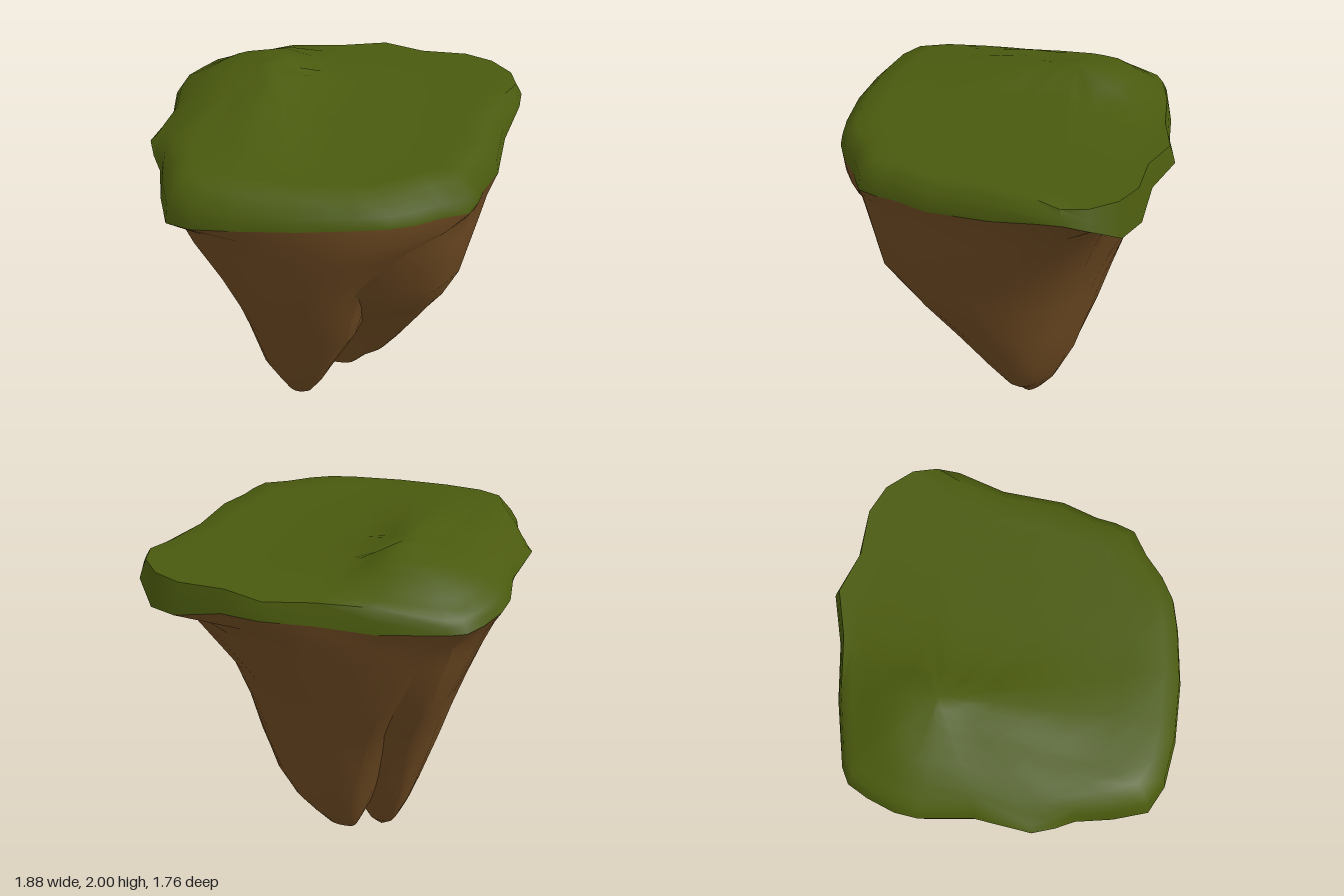
import * as THREE from 'three';
import { toCreasedNormals } from 'three/addons/utils/BufferGeometryUtils.js';

// Island outline, clockwise from the back right corner: x, z, height of the grass edge
const OUTLINE = [
  [-0.70, -0.72, 1.74], [-0.36, -0.79, 1.73], [-0.07, -0.82, 1.75], [0.18, -0.88, 1.77],
  [0.40, -0.80, 1.74], [0.65, -0.79, 1.69], [0.80, -0.72, 1.68], [0.91, -0.59, 1.76],
  [0.94, -0.46, 1.79], [0.93, -0.34, 1.78], [0.86, -0.10, 1.72], [0.83, 0.22, 1.71],
  [0.76, 0.40, 1.71], [0.74, 0.50, 1.71], [0.70, 0.60, 1.71], [0.57, 0.67, 1.72],
  [0.45, 0.76, 1.73], [0.33, 0.82, 1.74], [0.18, 0.85, 1.74], [-0.10, 0.88, 1.73],
  [-0.40, 0.875, 1.71], [-0.62, 0.84, 1.68], [-0.75, 0.77, 1.66], [-0.81, 0.60, 1.69],
  [-0.85, 0.42, 1.73], [-0.90, 0.33, 1.76], [-0.94, 0.22, 1.78], [-0.89, -0.06, 1.75],
  [-0.92, -0.32, 1.76], [-0.90, -0.44, 1.75], [-0.84, -0.58, 1.74], [-0.78, -0.68, 1.74],
];
const PEAK = [-0.38, -0.28];
const { clamp } = THREE.MathUtils;

// Piecewise linear curve through [position, value] pairs
function curve(points, t) {
  if (t <= points[0][0]) return points[0][1];
  for (let i = 1; i < points.length; i++) {
    const [a, va] = points[i - 1], [b, vb] = points[i];
    if (t <= b) return va + (vb - va) * (t - a) / (b - a);
  }
  return points[points.length - 1][1];
}

// Height of the turf: a low hill on a flat top that droops at the left of the front view
const HILL_X = [[-0.9, 0], [-0.78, 0.2], [-0.65, 0.57], [-0.38, 1], [-0.3, 0.86], [-0.2, 0.35], [0.1, 0.13], [0.45, 0]];
const HILL_Z = [[-0.74, 0], [-0.6, 0.5], [-0.45, 0.86], [-0.28, 1], [-0.12, 0.8], [0.13, 0.78], [0.2, 0.57], [0.6, 0.3], [0.8, 0]];
function turfHeight(x, z) {
  const sideDroop = clamp((-0.76 - x) / 0.16, 0, 1);
  const cornerDroop = clamp((-x - z - 1.1) / 0.28, 0, 1);
  return 1.86 + 0.14 * curve(HILL_X, x) * curve(HILL_Z, z) - 0.07 * Math.max(sideDroop, cornerDroop);
}

// Skin over closed rings of points, listed from top to bottom
function loft(rings, crease) {
  const n = OUTLINE.length, index = [];
  for (let r = 0; r + 1 < rings.length; r++) {
    for (let j = 0; j < n; j++) {
      const k = (j + 1) % n;
      const a = r * n + j, b = r * n + k, c = a + n, d = b + n;
      index.push(a, b, c, b, d, c);
    }
  }
  const geometry = new THREE.BufferGeometry();
  geometry.setAttribute('position', new THREE.Float32BufferAttribute(rings.flat(2), 3));
  geometry.setIndex(index);
  return toCreasedNormals(geometry, crease);
}

// Grass: hilltop, turf, bevel and drooping edge
function grassGeometry() {
  const inner = OUTLINE.map(([x, z]) => {
    const s = z > -0.35 && (x > 0 || z > 0.5) ? 0.9 : 0.965;
    return [x * s, z * s];
  });
  const rings = [0, 0.12, 0.25, 0.4, 0.6, 0.8, 0.9, 1].map((s) => inner.map(([ix, iz]) => {
    const x = PEAK[0] + (ix - PEAK[0]) * s, z = PEAK[1] + (iz - PEAK[1]) * s;
    return [x, turfHeight(x, z), z];
  }));
  rings.push(OUTLINE.map(([x, z, y], i) => {
    const [ix, iz] = inner[i];
    return [x * 0.985, y + (turfHeight(ix, iz) - y) * 0.5, z * 0.985];
  }));
  rings.push(OUTLINE.map(([x, z, y]) => [x, y, z]));
  return loft(rings, 1.1);
}

// Rock lobe: sections [y, xMin, xMax, zMin, zMax] turn, towards the tip, into
// ellipses stretched along one diagonal. outward (1 or -1) is the side facing
// away from the other lobe, and fullness keeps that side from being flattened.
function lobeGeometry(sections, outward, fullness) {
  const rings = [OUTLINE.map(([x, z, y]) => [x, y, z])];
  for (const [y, x0, x1, z0, z1] of sections) {
    const round = clamp((1.95 - y) / 1.1, 0, 1);
    const stretch = 0.34 * clamp((1.75 - y) / 0.6, 0, 1);
    rings.push(OUTLINE.map(([px, pz]) => {
      const u = px / 0.94, v = pz / 0.88, angle = Math.atan2(v, u), len = Math.hypot(u, v);
      const bump = 1 + 0.02 * Math.sin(5 * angle + 6 * y + outward) * round;
      const s = bump * (1 + (1 / len - 1) * (len < 1 ? Math.max(round, 0.8) : round));
      const out = outward * (u - v);
      const skew = stretch * (1 - clamp(out > 0 ? out * fullness : -out, 0, 1));
      const w = v * Math.sqrt(1 - skew * skew) + u * skew;
      return [(x0 + x1) / 2 + u * s * (x1 - x0) / 2, y, (z0 + z1) / 2 + w * s * (z1 - z0) / 2];
    }));
  }
  return loft(rings, 0.5);
}

export function createModel() {
  const grass = new THREE.MeshStandardMaterial({ color: 0x4a5a0e });
  grass.name = 'grass green';
  const rock = new THREE.MeshStandardMaterial({ color: 0x6e4a22 });
  rock.name = 'earth brown';

  const group = new THREE.Group();
  group.name = 'floatingIsland';
  const add = (name, geometry, material) => {
    const mesh = new THREE.Mesh(geometry, material);
    mesh.name = name;
    group.add(mesh);
  };

  add('grassTop', grassGeometry(), grass);

  // Longer lobe, towards the front and the right
  add('frontRockLobe', lobeGeometry([
    [1.62, -0.87, 0.81, -0.79, 0.86],
    [1.5, -0.82, 0.64, -0.73, 0.83],
    [1.18, -0.69, 0.31, -0.59, 0.70],
    [0.95, -0.60, 0.23, -0.46, 0.62],
    [0.72, -0.53, 0.18, -0.33, 0.50],
    [0.4, -0.43, 0.02, -0.20, 0.37],
    [0.22, -0.36, -0.06, -0.12, 0.25],
    [0.1, -0.30, -0.13, -0.06, 0.17],
    [0, -0.20, -0.20, 0.05, 0.05],
  ], -1, 0.6), rock);

  // Shorter lobe, towards the back and the left
  add('backRockLobe', lobeGeometry([
    [1.62, -0.85, 0.83, -0.80, 0.82],
    [1.5, -0.74, 0.80, -0.76, 0.75],
    [1.18, -0.54, 0.70, -0.64, 0.63],
    [0.95, -0.43, 0.60, -0.55, 0.46],
    [0.72, -0.34, 0.50, -0.47, 0.26],
    [0.46, -0.24, 0.38, -0.38, 0.09],
    [0.29, -0.18, 0.27, -0.30, 0.0],
    [0.22, -0.15, 0.18, -0.27, -0.04],
    [0.13, -0.11, 0.09, -0.20, -0.08],
    [0.085, -0.02, -0.02, -0.14, -0.14],
  ], 1, 0), rock);

  return group;
}
